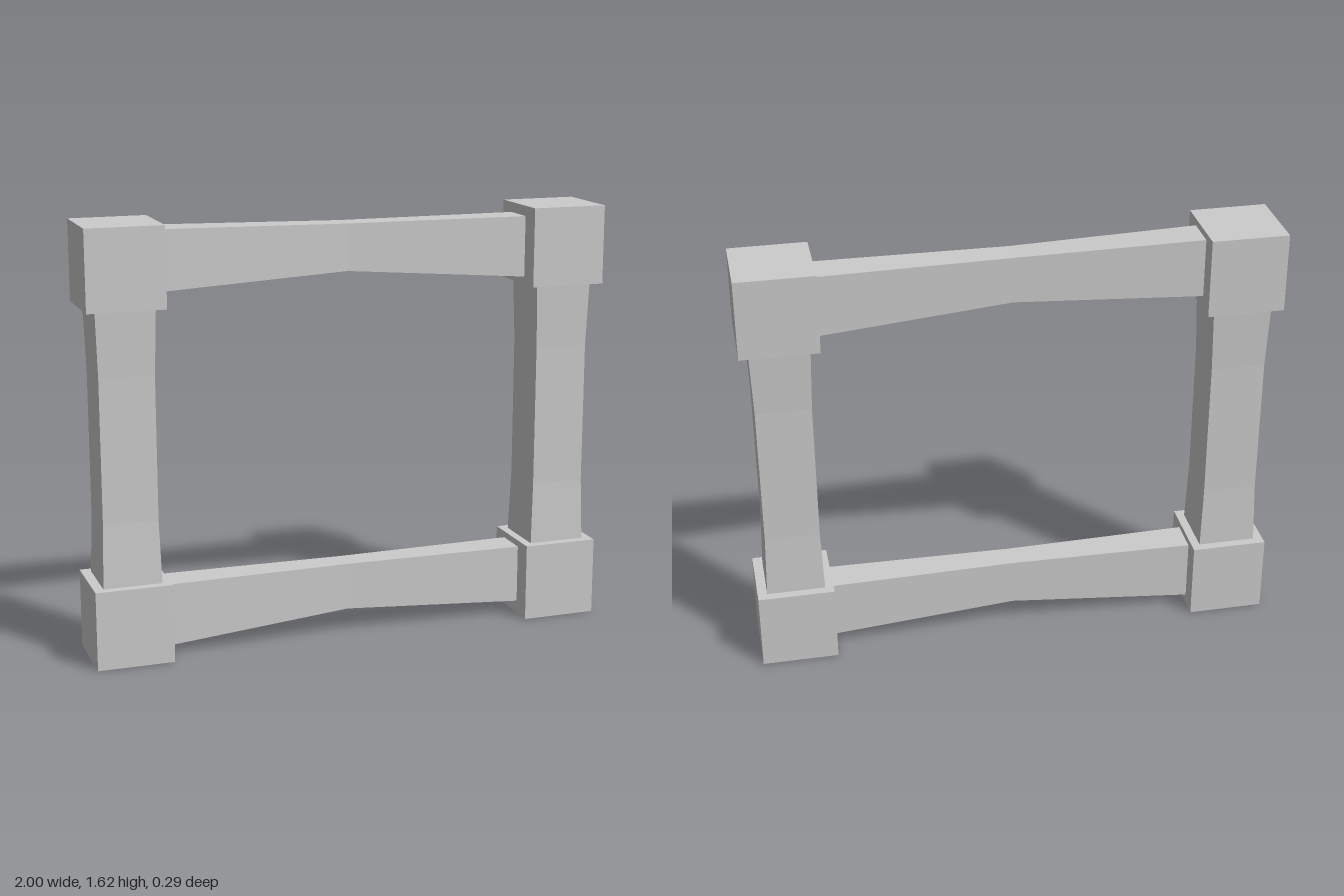
import * as THREE from 'three';

const material = new THREE.MeshStandardMaterial({ color: 0xcccccc, flatShading: true });

// Joins rectangular cross-sections (four corners each) into a capped bar.
function loft(sections) {
  const pos = [];
  const quad = (a, b, c, d) => [a, b, c, a, c, d].forEach((p) => pos.push(...p));
  for (let i = 0; i < sections.length - 1; i++) {
    const a = sections[i], b = sections[i + 1];
    for (let k = 0; k < 4; k++) {
      const n = (k + 1) % 4;
      quad(a[k], a[n], b[n], b[k]);
    }
  }
  const s = sections[0], e = sections[sections.length - 1];
  quad(s[3], s[2], s[1], s[0]);
  quad(e[0], e[1], e[2], e[3]);
  const geometry = new THREE.BufferGeometry();
  geometry.setAttribute('position', new THREE.Float32BufferAttribute(pos, 3));
  geometry.computeVertexNormals();
  return geometry;
}

// Cross-section of a beam running along x
const beamSection = ([x, y0, y1, z0, z1]) => [[x, y0, z0], [x, y1, z0], [x, y1, z1], [x, y0, z1]];

// Cross-section of a post running along y
const postSection = (cx, [y, hx, hz]) =>
  [[cx - hx, y, -hz], [cx - hx, y, hz], [cx + hx, y, hz], [cx + hx, y, -hz]];

export function createModel() {
  const group = new THREE.Group();
  const add = (name, geometry) => {
    const mesh = new THREE.Mesh(geometry, material);
    mesh.name = name;
    group.add(mesh);
    return mesh;
  };

  for (const [side, sx] of [['left', 1], ['right', -1]]) {
    // Corner blocks
    for (const [level, y] of [['Lower', 0.15], ['Upper', 1.475]]) {
      add(`${side}${level}Block`, new THREE.BoxGeometry(0.29, 0.3, 0.29)).position.set(sx * 0.855, y, 0);
    }
    // Post, slightly waisted between the blocks
    const rings = [[0.28, 0.111, 0.111], [0.54, 0.103, 0.103], [1.08, 0.103, 0.103], [1.345, 0.111, 0.111]];
    add(`${side}Post`, loft(rings.map((r) => postSection(sx * 0.853, r))));
  }

  // Beams, thinnest at mid span: x, bottom, top, back, front
  add('upperBeam', loft([
    [-0.73, 1.374, 1.6, -0.071, 0.064],
    [0, 1.411, 1.587, -0.055, 0.048],
    [0.73, 1.353, 1.586, -0.071, 0.062],
  ].map(beamSection)));
  add('lowerBeam', loft([
    [-0.73, 0.034, 0.275, -0.071, 0.064],
    [0, 0.094, 0.275, -0.055, 0.048],
    [0.73, 0.048, 0.275, -0.071, 0.062],
  ].map(beamSection)));

  return group;
}
